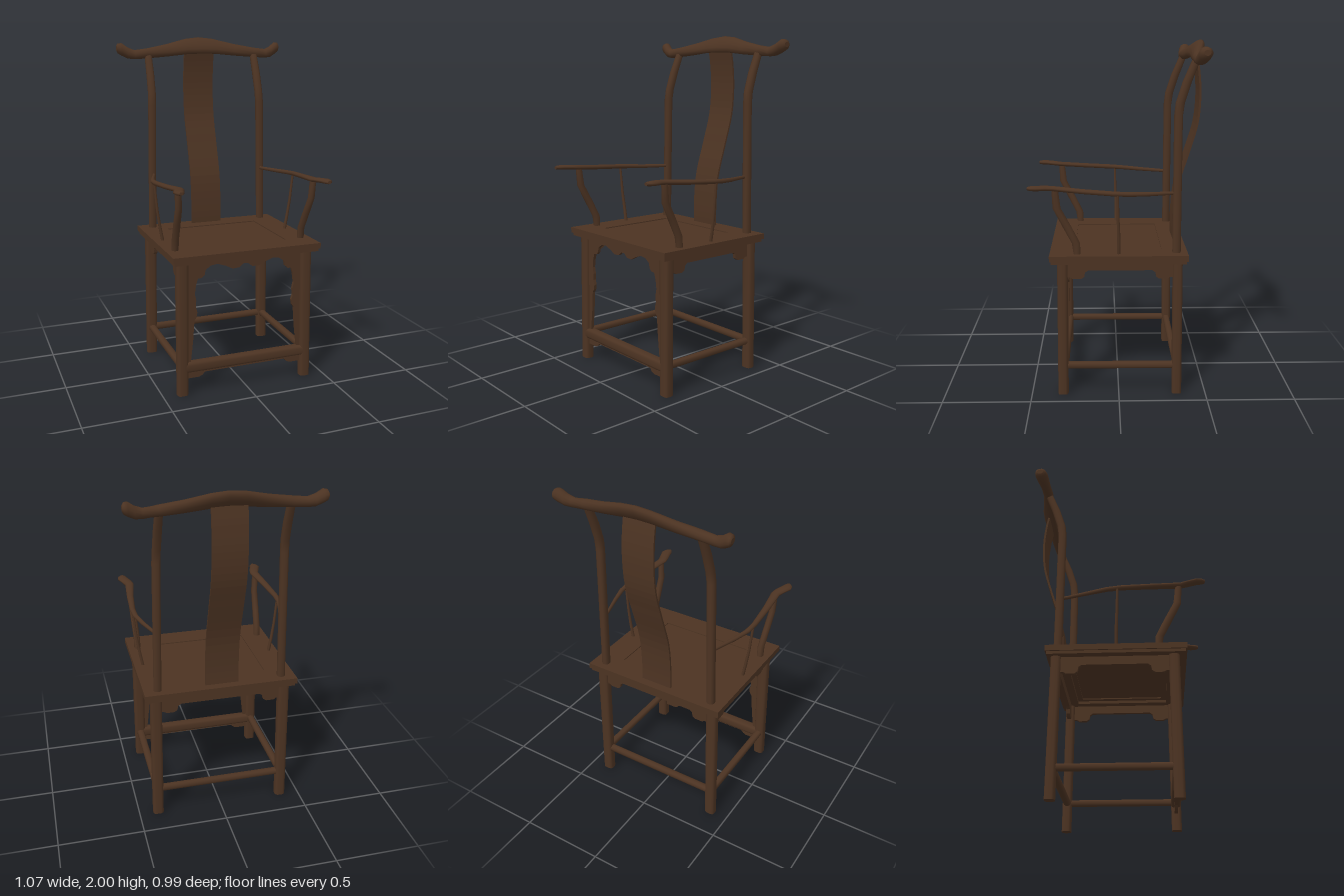
import * as THREE from 'three';

const wood = new THREE.MeshStandardMaterial({ color: 0x4c3322 });
wood.name = 'dark wood';

// Sweep of superellipse rings along one axis; a station is [x, y, z, ru, rv, tilt].
// Rings lie in the (u, v) plane with u x v = axis, stations increase along the axis.
function loft(axis, stations, n = 10, power = 1) {
  const a = 'xyz'.indexOf(axis), u = (a + 1) % 3, v = (a + 2) % 3;
  const pos = [], idx = [];
  const ring = (s) => {
    const [ru, rv, tilt = 0] = s.slice(3);
    for (let i = 0; i < n; i++) {
      const t = ((i + 0.5) / n) * Math.PI * 2, c = Math.cos(t), d = Math.sin(t);
      const p = Math.sign(c) * Math.abs(c) ** power * ru, q = Math.sign(d) * Math.abs(d) ** power * rv;
      const o = s.slice(0, 3);
      o[u] += p * Math.cos(tilt) - q * Math.sin(tilt);
      o[v] += p * Math.sin(tilt) + q * Math.cos(tilt);
      pos.push(...o);
    }
  };
  stations.forEach(ring);
  for (let k = 0; k < stations.length - 1; k++) {
    for (let i = 0; i < n; i++) {
      const p = k * n + i, q = k * n + (i + 1) % n;
      idx.push(p, q, q + n, p, q + n, p + n);
    }
  }
  // end caps with their own vertices
  const last = stations.length - 1;
  const s0 = stations.length * n;
  ring(stations[0]);
  ring(stations[last]);
  for (let i = 1; i < n - 1; i++) {
    idx.push(s0, s0 + i + 1, s0 + i, s0 + n, s0 + n + i, s0 + n + i + 1);
  }
  const g = new THREE.BufferGeometry();
  g.setAttribute('position', new THREE.Float32BufferAttribute(pos, 3));
  g.setIndex(idx);
  g.computeVertexNormals();
  return g;
}

// Symmetric flat board from the right half of its lower outline, centred on z = 0
function board(half, top, depth) {
  const end = half[half.length - 1][0];
  const pts = [[-end, top], ...half.slice().reverse().map(([x, y]) => [-x, y]), ...half, [end, top]];
  const shape = new THREE.Shape(pts.map(([x, y]) => new THREE.Vector2(x, y)));
  const g = new THREE.ExtrudeGeometry(shape, { depth, bevelEnabled: false });
  return g.translate(0, 0, -depth / 2);
}

// Horizontal seat ring with a rectangular opening
function frame(w, d, iw, id, y, h) {
  const rect = (P, a, b) => {
    const p = new P();
    p.moveTo(-a, -b); p.lineTo(a, -b); p.lineTo(a, b); p.lineTo(-a, b); p.closePath();
    return p;
  };
  const s = rect(THREE.Shape, w, d);
  s.holes.push(rect(THREE.Path, iw, id));
  const g = new THREE.ExtrudeGeometry(s, { depth: h, bevelEnabled: false });
  return g.rotateX(-Math.PI / 2).translate(0, y, 0);
}

export function createModel() {
  const chair = new THREE.Group();
  chair.name = 'yokeBackArmchair';
  const add = (name, geo, x = 0, y = 0, z = 0, ry = 0) => {
    const m = new THREE.Mesh(geo, wood);
    m.name = name;
    m.position.set(x, y, z);
    m.rotation.y = ry;
    chair.add(m);
    return m;
  };

  // Seat: outer frame, narrower lower moulding and inset panel
  add('seatFrame', frame(0.447, 0.386, 0.29, 0.245, 0.805, 0.033));
  add('seatMoulding', frame(0.438, 0.377, 0.32, 0.275, 0.788, 0.017));
  add('seatPanel', new THREE.BoxGeometry(0.6, 0.02, 0.51), 0, 0.822, 0);

  // Parts repeated on the left and right
  for (const s of [1, -1]) {
    const side = s > 0 ? 'left' : 'right';
    add(side + 'FrontLeg', loft('y', [
      [s * 0.386, 0, 0.32, 0.03, 0.032], [s * 0.379, 0.8, 0.315, 0.03, 0.036],
    ], 12, 0.6));
    add(side + 'BackLeg', loft('y', [
      [s * 0.386, 0, -0.335, 0.028, 0.032], [s * 0.379, 0.8, -0.33, 0.028, 0.034],
    ], 12, 0.6));
    // Back post bends rearward towards the crest
    add(side + 'BackPost', loft('y', [
      [s * 0.366, 0.8, -0.324, 0.024, 0.023], [s * 0.353, 1.6, -0.323, 0.024, 0.024],
      [s * 0.35, 1.67, -0.332, 0.025, 0.024], [s * 0.348, 1.78, -0.367, 0.025, 0.024],
      [s * 0.346, 1.91, -0.42, 0.022, 0.022],
    ], 10, 0.8));
    // Armrest sweeps outwards and widens to a flared grip
    add(side + 'Armrest', loft('z', [
      [s * 0.352, 1.173, -0.33, 0.009, 0.01], [s * 0.362, 1.174, -0.28, 0.009, 0.01],
      [s * 0.405, 1.177, -0.15, 0.012, 0.012], [s * 0.432, 1.182, -0.05, 0.015, 0.013],
      [s * 0.437, 1.187, 0.03, 0.016, 0.014], [s * 0.424, 1.198, 0.2, 0.021, 0.014],
      [s * 0.404, 1.211, 0.36, 0.027, 0.014], [s * 0.414, 1.215, 0.4, 0.031, 0.014],
      [s * 0.432, 1.217, 0.45, 0.032, 0.014], [s * 0.433, 1.217, 0.48, 0.025, 0.013],
      [s * 0.431, 1.217, 0.497, 0.012, 0.009],
    ]));
    add(side + 'ArmPost', loft('y', [
      [s * 0.39, 0.82, 0.23, 0.02, 0.02], [s * 0.39, 0.9, 0.238, 0.024, 0.02],
      [s * 0.395, 1.0, 0.289, 0.025, 0.02], [s * 0.4, 1.1, 0.341, 0.023, 0.019],
      [s * 0.405, 1.21, 0.35, 0.019, 0.018],
    ], 8));
    add(side + 'ArmSpindle', loft('y', [
      [s * 0.392, 0.82, 0, 0.011, 0.01], [s * 0.41, 0.92, 0, 0.01, 0.009],
      [s * 0.425, 1.02, 0.004, 0.009, 0.008], [s * 0.441, 1.185, 0.008, 0.007, 0.007],
    ], 8));
    add(side + 'Stretcher', loft('z', [
      [s * 0.384, 0.17, -0.33, 0.022, 0.02], [s * 0.384, 0.17, 0.32, 0.022, 0.02],
    ], 10, 0.8));
  }

  // Side and back aprons with rounded end brackets
  const plain = (end) => [
    [end - 0.125, 0.74], [end - 0.108, 0.728], [end - 0.103, 0.702],
    [end - 0.085, 0.69], [end - 0.04, 0.69], [end - 0.025, 0.7], [end, 0.7],
  ];
  for (const s of [1, -1]) {
    add(s > 0 ? 'leftApron' : 'rightApron', board(plain(0.305), 0.79, 0.022), s * 0.38, 0, -0.008, Math.PI / 2);
  }
  add('backApron', board(plain(0.36), 0.79, 0.022), 0, 0, -0.332);

  // Front apron: scalloped top with long strips running down the legs
  add('frontApron', board([
    [0.015, 0.748], [0.04, 0.727], [0.08, 0.724], [0.12, 0.745], [0.17, 0.762], [0.21, 0.757],
    [0.242, 0.735], [0.248, 0.705], [0.265, 0.69], [0.288, 0.688], [0.3, 0.65], [0.307, 0.6],
    [0.299, 0.56], [0.302, 0.52], [0.293, 0.49], [0.298, 0.46], [0.311, 0.44], [0.32, 0.32],
    [0.335, 0.19], [0.36, 0.19],
  ], 0.79, 0.018), 0, 0, 0.318);

  // Front footrest with its bracket board, and back stretcher
  add('footrest', loft('x', [
    [-0.37, 0.164, 0.318, 0.032, 0.03], [0.37, 0.164, 0.318, 0.032, 0.03],
  ], 12, 0.6));
  add('footrestBracket', board([
    [0.25, 0.122], [0.265, 0.105], [0.285, 0.096], [0.36, 0.096],
  ], 0.15, 0.02), 0, 0, 0.318);
  add('backStretcher', loft('x', [
    [-0.37, 0.17, -0.333, 0.021, 0.021], [0.37, 0.17, -0.333, 0.021, 0.021],
  ], 10, 0.8));

  // Crest rail: tall leaning centre, thinner shoulders, upturned rounded ends
  const half = [
    [0.09, 1.944, -0.448, 0.056, 0.028, -0.7], [0.22, 1.922, -0.434, 0.042, 0.028, -0.65],
    [0.35, 1.905, -0.42, 0.031, 0.029, -0.5], [0.43, 1.898, -0.422, 0.028, 0.028, 0],
    [0.47, 1.908, -0.43, 0.034, 0.032, 0], [0.505, 1.93, -0.441, 0.038, 0.036, 0],
    [0.525, 1.935, -0.446, 0.03, 0.032, 0], [0.533, 1.936, -0.448, 0.015, 0.018, 0],
  ];
  const mirrored = half.slice().reverse().map(([x, ...r]) => [-x, ...r]);
  add('crestRail', loft('x', [...mirrored, [0, 1.95, -0.451, 0.061, 0.028, -0.7], ...half], 12));

  // Back splat: thin S-curved board
  const curve = new THREE.SplineCurve([
    [0.82, -0.333], [0.95, -0.331], [1.14, -0.348], [1.35, -0.41], [1.52, -0.459],
    [1.68, -0.473], [1.82, -0.464], [1.93, -0.444],
  ].map(([y, z]) => new THREE.Vector2(z, y)));
  const line = curve.getPoints(28), t = 0.006;
  const outline = [
    ...line.map((p) => new THREE.Vector2(p.x + t, p.y)),
    ...line.slice().reverse().map((p) => new THREE.Vector2(p.x - t, p.y)),
  ];
  const splat = new THREE.ExtrudeGeometry(new THREE.Shape(outline), { depth: 0.194, bevelEnabled: false });
  splat.translate(0, 0, -0.097).rotateY(-Math.PI / 2);
  add('backSplat', splat, -0.007, 0, 0);

  return chair;
}
